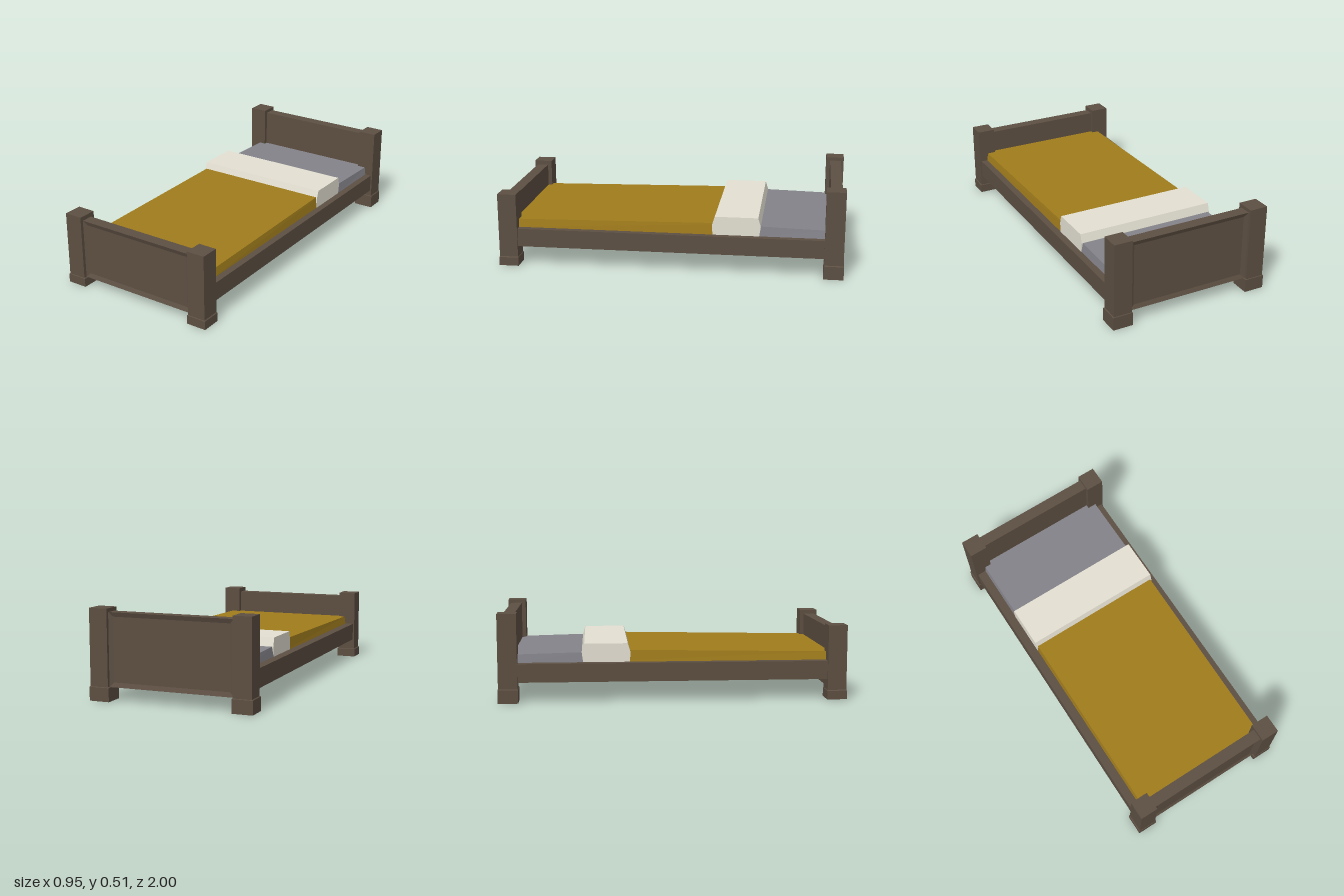
import * as THREE from 'three';

const paint = (name, color) => {
  const m = new THREE.MeshStandardMaterial({ color });
  m.name = name;
  return m;
};

// Flat normals for faceted geometry
function faceted(geometry) {
  const g = geometry.index ? geometry.toNonIndexed() : geometry;
  g.computeVertexNormals();
  return g;
}

// Moves every vertex of a geometry by a rule
function reshape(geometry, rule) {
  const p = geometry.attributes.position;
  const v = new THREE.Vector3();
  for (let i = 0; i < p.count; i++) {
    rule(v.fromBufferAttribute(p, i));
    p.setXYZ(i, v.x, v.y, v.z);
  }
  return faceted(geometry);
}

export function createModel() {
  const wood = paint('dark wood', 0x5d4f42);
  const ochre = paint('ochre blanket', 0xa07c1c);
  const grey = paint('grey mattress', 0x84838a);
  const cream = paint('cream sheet', 0xe4e0d2);

  const model = new THREE.Group();
  model.name = 'bed';

  function add(name, geometry, material, x = 0, y = 0, z = 0, parent = model) {
    const mesh = new THREE.Mesh(geometry, material);
    mesh.name = name;
    mesh.position.set(x, y, z);
    parent.add(mesh);
    return mesh;
  }

  // Square foot: hollow underneath, with a small chamfer on top
  function footGeometry(h) {
    const profile = [[0, 0.03], [0.03, 0.03], [0.033, 0], [0.059, 0], [0.059, h - 0.005], [0.054, h]]
      .map(([r, y]) => new THREE.Vector2(r * Math.SQRT2, y));
    const g = new THREE.LatheGeometry(profile, 4, Math.PI / 4);
    g.scale(1, 1, 0.0575 / 0.059);
    return faceted(g);
  }

  // Board with a shallow field sunk into its outer face behind a bevelled border
  function panelGeometry(h) {
    const inner = [0.34 / 0.365, (h - 0.05) / h];
    return reshape(new THREE.BoxGeometry(0.73, h, 2, 1, 1, 3), (v) => {
      if (v.z > 0.9) {
        v.x *= inner[0];
        v.y *= inner[1];
        v.z = 0.969;
      } else {
        v.z = v.z > 0 ? 0.979 : v.z > -0.9 ? 0.945 : 0.912;
      }
    });
  }

  // Footboard and headboard: two posts with feet and a panel
  const ends = [
    { name: 'footboard', turn: 0, post: 0.43, foot: 0.055, bottom: 0.055, top: 0.405 },
    { name: 'headboard', turn: Math.PI, post: 0.51, foot: 0.082, bottom: 0.08, top: 0.49 },
  ];
  for (const e of ends) {
    const group = new THREE.Group();
    group.name = e.name;
    group.rotation.y = e.turn;
    model.add(group);
    for (const side of [-1, 1]) {
      const h = e.post - 0.03;
      add('post', new THREE.BoxGeometry(0.107, h, 0.109), wood, side * 0.4185, 0.03 + h / 2, 0.9425, group);
      add('foot', footGeometry(e.foot), wood, side * 0.4185, 0, 0.9425, group);
    }
    add('panel', panelGeometry(e.top - e.bottom), wood, 0, (e.top + e.bottom) / 2, 0, group);
  }

  // Side rails, nearly as thick as the posts, carrying the bedding
  for (const side of [-1, 1]) {
    add('sideRail', new THREE.BoxGeometry(0.091, 0.106, 1.8), wood, side * 0.4175, 0.17, 0);
  }

  // Bedding slab: sides lean in slightly towards the top, which slopes along z
  function slab(zFront, zBack, yFront, yBack) {
    return reshape(new THREE.BoxGeometry(2, 2, 2), (v) => {
      const front = v.z > 0;
      const up = v.y > 0;
      v.x *= up ? 0.41 : 0.417;
      v.y = up ? (front ? yFront : yBack) : 0.222;
      v.z = front ? zFront : zBack;
    });
  }
  add('blanket', slab(0.914, -0.515, 0.27, 0.295), ochre, 0.006);
  add('mattress', slab(-0.515, -0.914, 0.28, 0.27), grey, 0.006);

  // Folded sheet: thick band across the bed, given as (-z, y)
  const fold = new THREE.Shape([
    [0.25, 0.222], [0.517, 0.222], [0.525, 0.28], [0.51, 0.33], [0.262, 0.33], [0.246, 0.28],
  ].map(([a, y]) => new THREE.Vector2(a, y)));
  const foldGeometry = new THREE.ExtrudeGeometry(fold, { depth: 0.836, bevelEnabled: false });
  foldGeometry.translate(0, 0, -0.418).rotateY(Math.PI / 2);
  add('foldedSheet', foldGeometry, cream, 0.006);

  return model;
}
